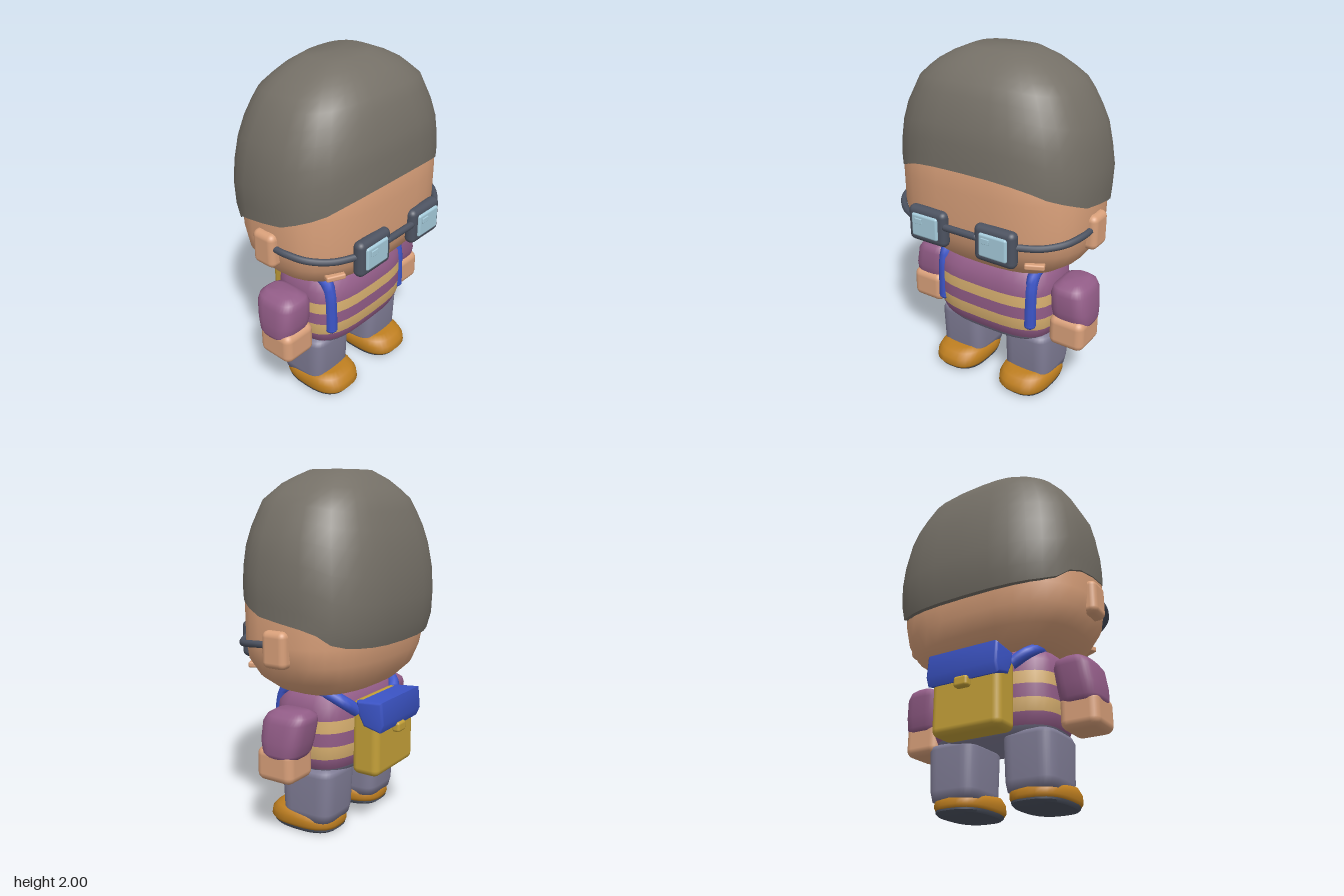
import * as THREE from 'three';
import { toCreasedNormals } from 'three/addons/utils/BufferGeometryUtils.js';
import { RoundedBoxGeometry } from 'three/addons/geometries/RoundedBoxGeometry.js';

const SEG = 32;
const mat = (name, color) => Object.assign(new THREE.MeshStandardMaterial({ color }), { name });
const skin = mat('skin', 0xd9a07a), hairGrey = mat('hair grey', 0x757067), purple = mat('shirt purple', 0x935d88);
const sand = mat('stripe sand', 0xd8b070), slate = mat('trouser slate', 0x807d96), ochre = mat('shoe ochre', 0xbf7f20);
const dark = mat('dark grey', 0x4c5260), glass = mat('lens blue', 0xa5cbdb), blue = mat('strap blue', 0x3c55c8);
const mustard = mat('bag mustard', 0xc4a038);

// Point of a rounded-rectangle ring: half width, front depth, back depth
function ringPoint(i, y, hx, zf, zb, n, cx = 0) {
  const a = (i / SEG) * Math.PI * 2, c = Math.cos(a), s = Math.sin(a);
  const pw = (v) => Math.sign(v) * Math.abs(v) ** (2 / n);
  const mid = (zf + zb) / 2, half = (zf - zb) / 2;
  return [cx + hx * pw(c), y, mid + half * pw(s)];
}
const ring = ([y, hx, zf, zb, cx], n) =>
  Array.from({ length: SEG }, (_, i) => ringPoint(i, y, hx, zf, zb, n, cx));

// Skin stacked rows of points, capped at both ends; one geometry group per band
function loft(rows) {
  const pos = rows.flat(2), idx = [], geo = new THREE.BufferGeometry();
  const centre = (row) => {
    pos.push(...[0, 1, 2].map((k) => row.reduce((t, p) => t + p[k], 0) / SEG));
    return pos.length / 3 - 1;
  };
  const low = centre(rows[0]), high = centre(rows[rows.length - 1]);
  for (let j = 0; j < rows.length - 1; j++) {
    const start = idx.length;
    for (let i = 0; i < SEG; i++) {
      const k = (i + 1) % SEG, a = j * SEG + i, b = a + SEG, c = j * SEG + k, d = c + SEG;
      idx.push(a, b, c, c, b, d);
      if (j === 0) idx.push(low, a, c);
      if (j === rows.length - 2) idx.push(high, d, b);
    }
    geo.addGroup(start, idx.length - start, j);
  }
  geo.setAttribute('position', new THREE.Float32BufferAttribute(pos, 3));
  geo.setIndex(idx);
  geo.computeVertexNormals();
  return geo;
}
const solid = (specs, n) => {
  const geo = loft(specs.map((s) => ring(s, n)));
  geo.clearGroups();
  return geo;
};

// Piecewise-linear lookup in a table sorted by its first column
function lookup(table, v) {
  let i = 0;
  while (i < table.length - 2 && v > table[i + 1][0]) i++;
  const a = table[i], b = table[i + 1];
  const t = THREE.MathUtils.clamp((v - a[0]) / (b[0] - a[0]), 0, 1);
  return a.map((q, k) => q + (b[k] - q) * t);
}

// Hair cap whose lower edge follows a sloping hairline
function hairGeometry() {
  const profile = [[1.08, 0.575, 0.4, -0.425], [1.2, 0.592, 0.408, -0.458], [1.4, 0.6, 0.412, -0.462],
    [1.52, 0.582, 0.41, -0.445], [1.65, 0.557, 0.395, -0.42], [1.84, 0.46, 0.33, -0.345],
    [1.94, 0.335, 0.23, -0.25], [2, 0.19, 0.12, -0.16]];
  const line = [[-0.46, 1.09], [-0.32, 1.12], [-0.22, 1.195], [-0.1, 1.22], [0.1, 1.25], [0.3, 1.33], [0.41, 1.42]];
  const steps = [0, 0.1, 0.25, 0.4, 0.55, 0.66, 0.76, 0.83, 0.89, 0.945, 1];
  const rows = steps.map((t) => Array.from({ length: SEG }, (_, i) => {
    const h = lookup(line, ringPoint(i, 0, 0.6, 0.41, -0.46, 2.7)[2])[1];
    const y = h + (2 - h) * t, [, hx, zf, zb] = lookup(profile, y);
    return ringPoint(i, y, hx, zf, zb, 2.7);
  }));
  rows.unshift(rows[0].map(([x, y, z]) => [x * 0.9, y, z * 0.87]));
  const geo = loft(rows);
  geo.clearGroups();
  return toCreasedNormals(geo, 0.9);
}

// Shoe upper that drops towards the heel
function shoeGeometry() {
  const geo = solid([[0.02, 0.15, 0.255, -0.165], [0.04, 0.16, 0.27, -0.172], [0.08, 0.16, 0.262, -0.17],
    [0.112, 0.147, 0.232, -0.165], [0.132, 0.11, 0.19, -0.14]], 2.7);
  const p = geo.attributes.position;
  for (let i = 0; i < p.count; i++) {
    const drop = THREE.MathUtils.clamp((0.12 - p.getZ(i)) / 0.28, 0, 1);
    if (p.getY(i) > 0.05) p.setY(i, p.getY(i) - 0.04 * drop * (p.getY(i) - 0.04) / 0.09);
  }
  geo.computeVertexNormals();
  return geo;
}

const tube = (pts, r) =>
  new THREE.TubeGeometry(new THREE.CatmullRomCurve3(pts.map((p) => new THREE.Vector3(...p))), 24, r, 10);

export function createModel() {
  const model = new THREE.Group();
  const add = (name, geo, material, x = 0, y = 0, z = 0) => {
    const m = new THREE.Mesh(geo, material);
    m.name = name;
    m.position.set(x, y, z);
    model.add(m);
    return m;
  };
  const box = (name, w, h, d, r, material, x, y, z) =>
    add(name, new RoundedBoxGeometry(w, h, d, 3, r), material, x, y, z);

  // Head and hair
  add('head', solid([[0.795, 0.33, 0.17, -0.19], [0.825, 0.41, 0.25, -0.27], [0.9, 0.51, 0.335, -0.345],
    [1, 0.57, 0.385, -0.38], [1.1, 0.586, 0.4, -0.4], [1.3, 0.588, 0.402, -0.41],
    [1.44, 0.57, 0.398, -0.41], [1.6, 0.5, 0.35, -0.36]], 2.7), skin);
  add('hair', hairGeometry(), hairGrey);

  // Striped shirt above the trouser waist
  const torso = [[0.35, 0.33, 0.19, -0.19], [0.385, 0.365, 0.218, -0.218], [0.45, 0.388, 0.243, -0.243],
    [0.525, 0.392, 0.25, -0.25], [0.6, 0.392, 0.25, -0.25], [0.67, 0.392, 0.25, -0.25],
    [0.74, 0.388, 0.24, -0.24], [0.8, 0.355, 0.2, -0.21], [0.83, 0.29, 0.15, -0.16]];
  add('shirt', loft(torso.map((r) => ring(r, 3.2))), [slate, purple, sand, purple, sand, purple, purple, purple]);

  for (const s of [1, -1]) {
    const side = s > 0 ? 'left' : 'right';
    // Face details
    box(side + 'Ear', 0.11, 0.2, 0.15, 0.035, skin, s * 0.57, 1.09, -0.005);
    box(side + 'Cheek', 0.11, 0.033, 0.05, 0.01, skin, s * 0.395, 0.945, 0.3).rotation.y = s * 0.45;

    // Glasses
    box(side + 'LensFrame', 0.255, 0.21, 0.07, 0.033, dark, s * 0.222, 1.062, 0.405);
    box(side + 'Lens', 0.175, 0.135, 0.03, 0.013, glass, s * 0.225, 1.065, 0.438);
    box(side + 'LensGlint', 0.05, 0.032, 0.008, 0.003, glass, s > 0 ? 0.185 : -0.26, 1.095, 0.456);
    add(side + 'GlassesArm', tube([[s * 0.32, 1.08, 0.405], [s * 0.45, 1.077, 0.335], [s * 0.545, 1.09, 0.24],
      [s * 0.585, 1.105, 0.13], [s * 0.59, 1.11, 0.05]], 0.019), dark);

    // Arms
    add(side + 'Sleeve', solid([[0.5, 0.106, 0.1, -0.1, s * 0.5], [0.525, 0.117, 0.115, -0.115, s * 0.498],
      [0.59, 0.12, 0.13, -0.132, s * 0.492], [0.69, 0.118, 0.125, -0.148, s * 0.48],
      [0.725, 0.1, 0.108, -0.145, s * 0.475], [0.748, 0.06, 0.07, -0.115, s * 0.48]], 3.2), purple);
    box(side + 'Hand', 0.22, 0.19, 0.235, 0.045, skin, s * 0.497, 0.455, 0.02);

    // Legs and shoes
    add(side + 'Leg', solid([[0.07, 0.14, 0.13, -0.165], [0.12, 0.148, 0.15, -0.178], [0.34, 0.152, 0.16, -0.19],
      [0.365, 0.142, 0.15, -0.18], [0.38, 0.11, 0.12, -0.15]], 4.5), slate, s * 0.235);
    add(side + 'Shoe', shoeGeometry(), ochre, s * 0.235);
    add(side + 'Sole', toCreasedNormals(solid([[0, 0.14, 0.235, -0.15], [0.012, 0.15, 0.25, -0.165],
      [0.03, 0.152, 0.255, -0.166]], 2.7), 0.7), dark, s * 0.235);

    // Shoulder strap running over to the bag
    const x = s * 0.305;
    add(side + 'Strap', tube([[x, 0.485, 0.19], [x, 0.6, 0.188], [x, 0.72, 0.18], [x, 0.795, 0.15], [x, 0.82, 0.04],
      [x, 0.815, -0.12], [x * 0.9, 0.77, -0.21], [x * 0.65, 0.71, -0.25]], 0.036), blue);
    add(side + 'StrapEnd', new THREE.SphereGeometry(0.036, 12, 8), blue, x, 0.485, 0.19).scale.y = 0.7;
  }
  const bridge = new THREE.CapsuleGeometry(0.02, 0.2, 4, 10).rotateZ(Math.PI / 2);
  add('glassesBridge', bridge, dark, 0, 1.085, 0.42);

  // Backpack with a folded flap and clasp
  box('bag', 0.42, 0.43, 0.17, 0.04, mustard, 0, 0.555, -0.305);
  const flap = new THREE.Shape([[-0.275, 0.755], [-0.405, 0.765], [-0.415, 0.66], [-0.4, 0.625], [-0.315, 0.645],
    [-0.28, 0.71]].map(([z, y]) => new THREE.Vector2(z, y)));
  const flapGeo = new THREE.ExtrudeGeometry(flap, { depth: 0.41, bevelThickness: 0.015, bevelSize: 0.015, bevelSegments: 3 });
  flapGeo.translate(0, 0, -0.205).rotateY(-Math.PI / 2);
  add('bagFlap', toCreasedNormals(flapGeo, 0.7), blue);
  box('bagClasp', 0.085, 0.06, 0.05, 0.016, mustard, 0, 0.597, -0.407);
  return model;
}
